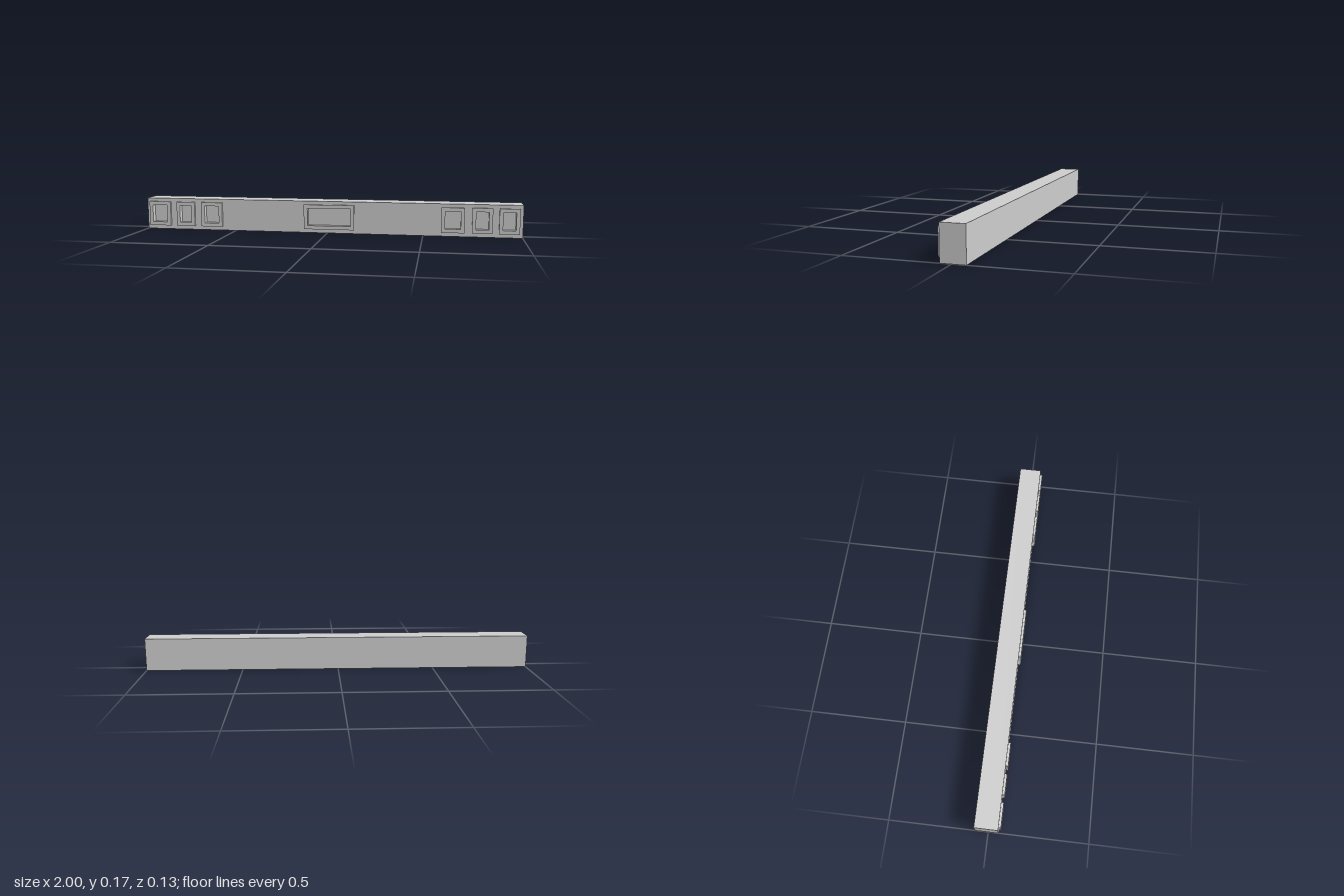
import * as THREE from 'three';
import { mergeGeometries } from 'three/addons/utils/BufferGeometryUtils.js';

const HEIGHT = 0.168, BACK = -0.064, FACE = 0.052, RIM = 0.064, FLOOR = 0.033;
const BOTTOM = 0.02, TOP = 0.15, BORDER = 0.019;

// x ranges of the raised frames along the front
const PANELS = [
  [-0.985, -0.865], [-0.83, -0.728], [-0.69, -0.573],
  [-0.124, 0.143],
  [0.593, 0.71], [0.748, 0.85], [0.882, 0.984],
];

function rectangle(Type, x0, x1, y0, y1) {
  return new Type([
    new THREE.Vector2(x0, y0), new THREE.Vector2(x1, y0),
    new THREE.Vector2(x1, y1), new THREE.Vector2(x0, y1),
  ]);
}

const opening = (Type, [x0, x1]) =>
  rectangle(Type, x0 + BORDER, x1 - BORDER, BOTTOM + BORDER, TOP - BORDER);

export function createModel() {
  const model = new THREE.Group();
  const material = new THREE.MeshStandardMaterial({ color: 0xcccccc, flatShading: true });
  const add = (name, geometry, parent = model) => {
    const mesh = new THREE.Mesh(geometry, material);
    mesh.name = name;
    parent.add(mesh);
  };

  // Beam: a box whose front face is replaced by a sheet with window openings
  const shell = new THREE.BoxGeometry(2, HEIGHT, FACE - BACK);
  shell.translate(0, HEIGHT / 2, (FACE + BACK) / 2);
  const index = Array.from(shell.index.array);
  index.splice(24, 6); // front face
  shell.setIndex(index);
  shell.clearGroups();
  const sheetShape = rectangle(THREE.Shape, -1, 1, 0, HEIGHT);
  sheetShape.holes = PANELS.map((p) => opening(THREE.Path, p));
  const sheet = new THREE.ShapeGeometry(sheetShape).translate(0, 0, FACE);
  add('beam', mergeGeometries([shell, sheet]));

  // Raised frames whose inner walls run back to a sunken floor
  for (const panel of PANELS) {
    const group = new THREE.Group();
    group.name = 'panel';
    const ring = rectangle(THREE.Shape, panel[0], panel[1], BOTTOM, TOP);
    ring.holes.push(opening(THREE.Path, panel));
    const frame = new THREE.ExtrudeGeometry(ring, { depth: RIM - FLOOR, bevelEnabled: false });
    add('frame', frame.translate(0, 0, FLOOR), group);
    const floor = new THREE.ShapeGeometry(opening(THREE.Shape, panel));
    add('recessFloor', floor.translate(0, 0, FLOOR), group);
    model.add(group);
  }
  return model;
}
